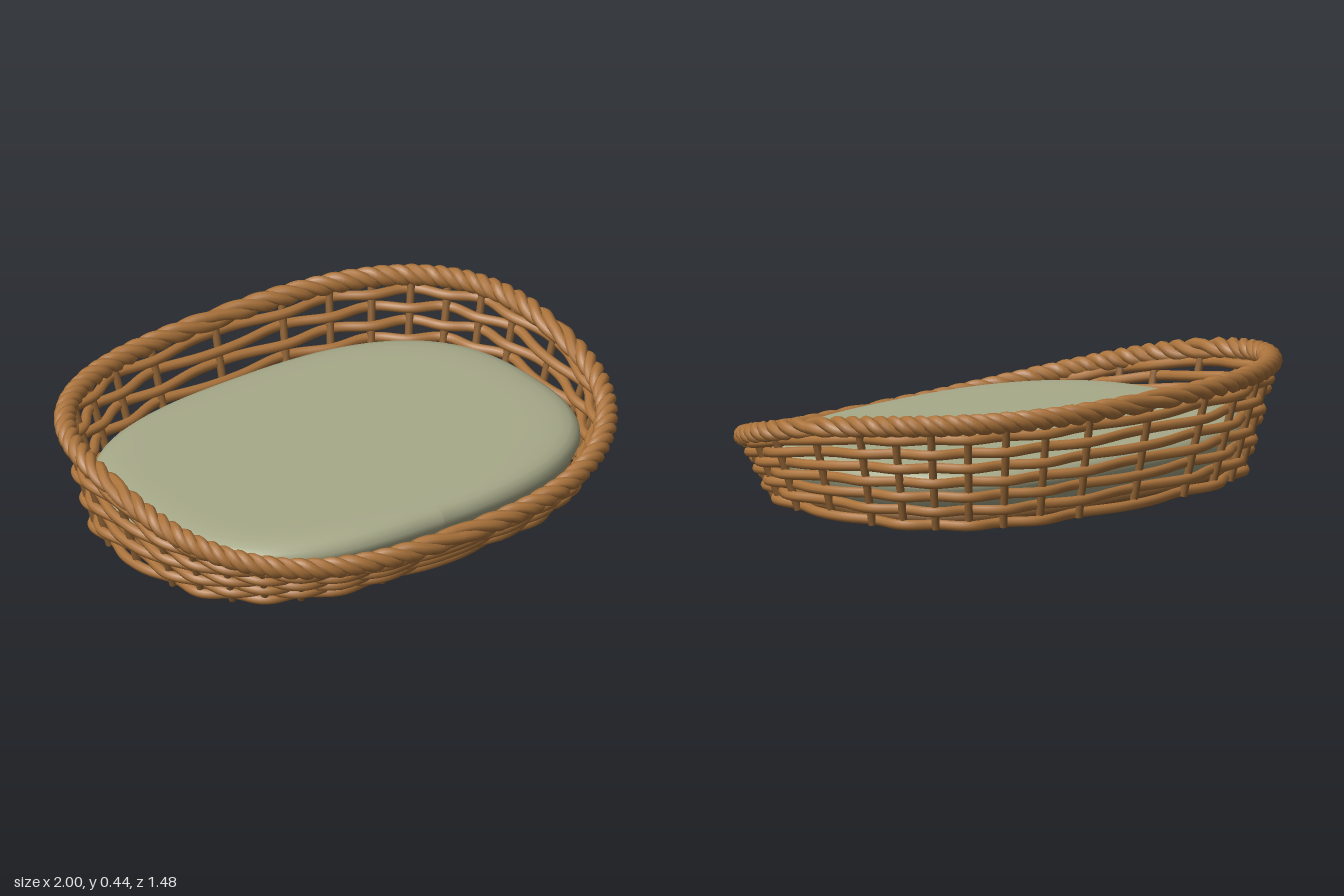
import * as THREE from 'three';

const N = 2.7;                    // superellipse exponent of the outline
const STAKES = 32, ROWS = 7;
const BASE = [0.862, 0.612], RIM = [0.96, 0.702], FOOT = 0.022;

const spow = (v, p) => Math.sign(v) * Math.abs(v) ** p;
const rimHeight = z => 0.343 - 0.179 * z - 0.143 * z * z;

// Point on the flared wall: angle t, height fraction u, pushed outward and upward
function wallPoint(t, u, out = 0, up = 0) {
  const a = THREE.MathUtils.lerp(BASE[0], RIM[0], u);
  const b = THREE.MathUtils.lerp(BASE[1], RIM[1], u);
  const c = Math.cos(t), s = Math.sin(t);
  const normal = new THREE.Vector2(spow(c, 2 - 2 / N) / a, spow(s, 2 - 2 / N) / b).normalize();
  const x = a * spow(c, 2 / N), z = b * spow(s, 2 / N);
  const top = rimHeight(RIM[1] * spow(s, 2 / N));
  return new THREE.Vector3(x + normal.x * out, FOOT + u * (top - FOOT) + up, z + normal.y * out);
}

class RuleCurve extends THREE.Curve {
  constructor(rule) {
    super();
    this.rule = rule;
    this.arcLengthDivisions = 1600;
  }
  getPoint(t, target = new THREE.Vector3()) {
    return target.copy(this.rule(t));
  }
}

// Lathe with a profile in outline fractions, remapped to the basket outline
function outlineSolid(profile, a, b) {
  const geo = new THREE.LatheGeometry(profile.map(p => new THREE.Vector2(...p)), 120);
  const pos = geo.attributes.position;
  for (let i = 0; i < pos.count; i++) {
    const x = pos.getX(i), z = pos.getZ(i);
    const r = Math.hypot(x, z), t = Math.atan2(z, x);
    pos.setX(i, a * r * spow(Math.cos(t), 2 / N));
    pos.setZ(i, b * r * spow(Math.sin(t), 2 / N));
  }
  geo.computeVertexNormals();
  return geo;
}

export function createModel() {
  const model = new THREE.Group();
  model.name = 'wickerBasket';
  const material = (name, color) => {
    const m = new THREE.MeshStandardMaterial({ color });
    m.name = name;
    return m;
  };
  const wicker = material('wicker', 0xac743c);
  const darkWicker = material('darkWicker', 0x8f6234);
  const fabric = material('sageFabric', 0xa8aa8a);

  const add = (parent, name, geo, mat) => {
    const mesh = new THREE.Mesh(geo, mat);
    mesh.name = name;
    parent.add(mesh);
  };
  const group = name => {
    const g = new THREE.Group();
    g.name = name;
    model.add(g);
    return g;
  };
  const TAU = Math.PI * 2;

  // Horizontal strands weaving in and out of the stakes
  const weave = group('wovenWall');
  for (let row = 0; row < ROWS; row++) {
    const curve = new RuleCurve(k => wallPoint(k * TAU, row / ROWS,
      0.016 * Math.cos(k * TAU * STAKES / 2 + row * Math.PI)));
    add(weave, 'strand', new THREE.TubeGeometry(curve, 352, 0.018, 8, true), wicker);
  }

  // Upright stakes
  const stakes = group('stakes');
  for (let i = 0; i < STAKES; i++) {
    const curve = new RuleCurve(k => wallPoint(i / STAKES * TAU, k, 0, -0.012 * (1 - k)));
    curve.arcLengthDivisions = 20;
    add(stakes, 'stake', new THREE.TubeGeometry(curve, 6, 0.014, 8), darkWicker);
  }

  // Twisted three-strand rim
  const rim = group('braidedRim');
  for (let i = 0; i < 3; i++) {
    const curve = new RuleCurve(k => {
      const twist = k * TAU * 28 + i * TAU / 3;
      return wallPoint(k * TAU, 1, 0.019 * Math.cos(twist), 0.018 * Math.sin(twist));
    });
    add(rim, 'rimStrand', new THREE.TubeGeometry(curve, 560, 0.021, 8, true), wicker);
  }

  // Rounded base and cushion
  add(model, 'base', outlineSolid([[0, 0.003], [0.8, 0.003], [0.9, 0.006], [0.95, 0.016],
    [0.975, 0.035], [0.97, 0.06], [0.93, 0.07], [0, 0.07]], 0.862, 0.612), darkWicker);
  add(model, 'cushion', outlineSolid([[0, 0.06], [0.9, 0.06], [0.945, 0.075], [0.975, 0.11],
    [1, 0.15], [0.998, 0.17], [0.985, 0.19], [0.96, 0.205], [0.92, 0.215], [0.86, 0.22],
    [0.78, 0.222], [0, 0.222]], 0.872, 0.622), fabric);

  return model;
}
